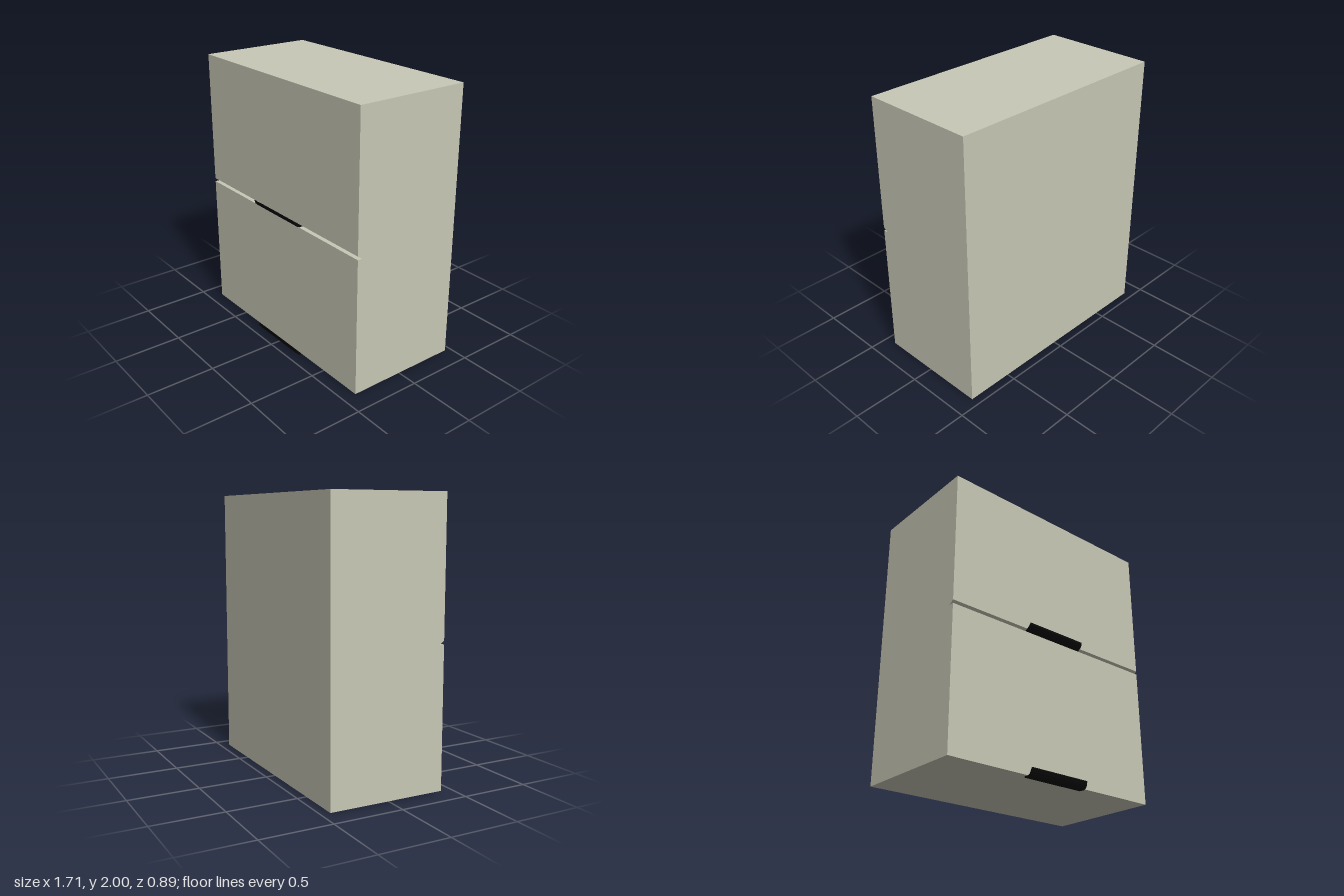
import * as THREE from 'three';

const bodyMaterial = new THREE.MeshStandardMaterial({ color: 0xc8c8b6 });
const handleMaterial = new THREE.MeshStandardMaterial({ color: 0x080808 });

// Extrude a [z, y] side profile along x, centred on x = 0
function sideProfile(name, points, width, material) {
  const shape = new THREE.Shape(points.map(([z, y]) => new THREE.Vector2(z, y)));
  const geometry = new THREE.ExtrudeGeometry(shape, { depth: width, bevelEnabled: false });
  geometry.translate(0, 0, -width / 2);
  geometry.rotateY(-Math.PI / 2);
  const mesh = new THREE.Mesh(geometry, material);
  mesh.name = name;
  return mesh;
}

export function createModel() {
  const model = new THREE.Group();
  model.name = 'wallCabinet';

  // Cabinet body with a wedge-shaped finger groove between the two doors
  model.add(sideProfile('cabinetBody', [
    [-0.445, 0.01], [0.405, 0.01], [0.405, 1.01], [0.37, 1.01],
    [0.405, 1.035], [0.405, 2], [-0.445, 2],
  ], 1.71, bodyMaterial));

  // Curved pull lip sitting in the groove under the upper door
  model.add(sideProfile('upperHandle', [
    [0.372, 1.011], [0.405, 1.012], [0.422, 1.021], [0.437, 1.036], [0.445, 1.052],
    [0.445, 1.065], [0.437, 1.053], [0.424, 1.041], [0.405, 1.03],
  ], 0.48, handleMaterial));

  // Thin curved pull lip under the lower door
  model.add(sideProfile('lowerHandle', [
    [0.372, 0.002], [0.415, 0], [0.43, 0.008], [0.441, 0.026], [0.447, 0.05],
    [0.445, 0.055], [0.434, 0.037], [0.425, 0.02], [0.413, 0.011], [0.372, 0.0095],
  ], 0.48, handleMaterial));

  return model;
}
